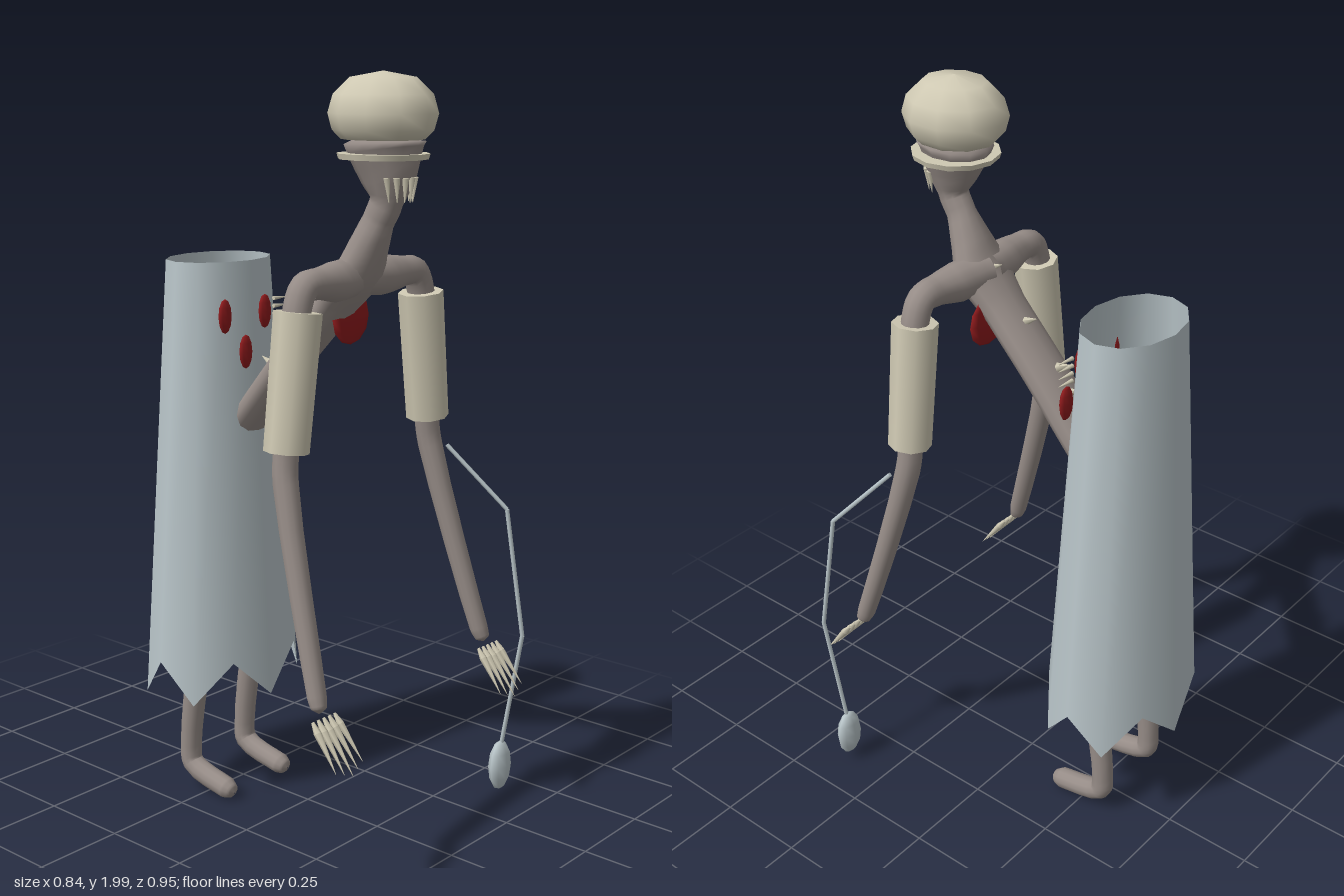
import * as THREE from 'three';

const mat = (name, color, side = THREE.FrontSide) => {
  const m = new THREE.MeshStandardMaterial({ color, side });
  m.name = name;
  return m;
};
const skin = mat('grey skin', 0x968c87);
const bone = mat('bone', 0xcfc9b3);
const metal = mat('pale metal', 0xb9c5c9, THREE.DoubleSide);
const red = mat('dark red', 0x8e1a1c);
const CX = -0.03; // symmetry axis of the body
const V = (x, y, z) => new THREE.Vector3(x, y, z);

// Smooth limb swept through rows of [x, y, z, radiusU, radiusV]
function limb(rows, start, sides = 12, steps = 4) {
  const curve = new THREE.CatmullRomCurve3(rows.map(r => V(r[0], r[1], r[2])));
  const n = (rows.length - 1) * steps, pos = [], idx = [];
  let u = start.clone();
  for (let i = 0; i <= n; i++) {
    const c = curve.getPoint(i / n), t = curve.getTangent(i / n);
    u = u.addScaledVector(t, -u.dot(t)).normalize();
    const v = t.clone().cross(u);
    const k = Math.min(Math.floor(i / steps), rows.length - 2), f = i / steps - k;
    const [ru, rv] = [3, 4].map(q => {
      const a = rows[k][q] ?? rows[k][3], b = rows[k + 1][q] ?? rows[k + 1][3];
      return a + (b - a) * f;
    });
    for (let j = 0; j < sides; j++) {
      const a = j / sides * Math.PI * 2;
      const p = c.clone().addScaledVector(u, ru * Math.cos(a)).addScaledVector(v, rv * Math.sin(a));
      pos.push(p.x, p.y, p.z);
      if (i < n) {
        const A = i * sides + j, B = i * sides + (j + 1) % sides;
        idx.push(A, B, B + sides, A, B + sides, A + sides);
      }
    }
  }
  const g = new THREE.BufferGeometry();
  g.setAttribute('position', new THREE.Float32BufferAttribute(pos, 3));
  g.setIndex(idx);
  g.computeVertexNormals();
  return g;
}

export function createModel() {
  const root = new THREE.Group();
  root.name = 'figure';
  const add = (name, geo, material, x = 0, y = 0, z = 0) => {
    const m = new THREE.Mesh(geo, material);
    m.name = name;
    m.position.set(x, y, z);
    root.add(m);
    return m;
  };
  // Cylinder or cone between two points
  const rod = (name, a, b, ra, rb, material, sides = 6) => {
    const d = b.clone().sub(a), mid = a.clone().add(b).multiplyScalar(0.5);
    const m = add(name, new THREE.CylinderGeometry(rb, ra, d.length(), sides), material, mid.x, mid.y, mid.z);
    m.quaternion.setFromUnitVectors(V(0, 1, 0), d.normalize());
    return m;
  };
  const blob = (name, material, x, y, z, rx, ry, rz) => {
    add(name, new THREE.SphereGeometry(1, 8, 6), material, x, y, z).scale.set(rx, ry, rz);
  };

  // Leaning torso, neck and face in one sweep
  add('torso', limb([
    [CX, 0.94, -0.315, 0.03, 0.01], [CX, 0.97, -0.285, 0.07, 0.042], [CX, 1.115, -0.153, 0.07, 0.043],
    [CX, 1.27, -0.02, 0.07, 0.043], [CX, 1.415, 0.116, 0.07, 0.043], [CX, 1.5, 0.19, 0.09, 0.05],
    [CX, 1.57, 0.225, 0.06, 0.048], [CX, 1.64, 0.257, 0.036, 0.042], [CX, 1.69, 0.282, 0.034, 0.045],
    [CX, 1.75, 0.284, 0.056, 0.08], [CX, 1.83, 0.275, 0.09, 0.108], [CX, 1.85, 0.275, 0.02, 0.02],
  ], V(1, 0, 0)), skin);

  // Skull cap with a brim below it
  const cap = [[0, 1.835], [0.095, 1.838], [0.115, 1.86], [0.125, 1.9], [0.113, 1.945], [0.075, 1.985], [0, 2]];
  add('skullCap', new THREE.LatheGeometry(cap.map(p => new THREE.Vector2(...p)), 10), bone, CX, 0, 0.268)
    .scale.set(1, 1, 1.13);
  add('brim', new THREE.CylinderGeometry(0.112, 0.108, 0.014, 12), bone, CX, 1.798, 0.27).scale.z = 1.05;

  // Teeth around the front of the mouth
  for (let i = 0; i < 7; i++) {
    const a = (i - 3) * 0.38, s = Math.sin(a), c = Math.cos(a);
    rod('tooth', V(CX + 0.05 * s, 1.75, 0.29 + 0.07 * c), V(CX + 0.042 * s, 1.69, 0.295 + 0.06 * c), 0.009, 0.001, bone);
  }

  for (const s of [-1, 1]) {
    const X = d => CX + s * d;
    const mirror = rows => rows.map(([d, ...r]) => [X(d), ...r]);
    add('arm', limb(mirror([
      [0, 1.5, 0.18, 0.05], [0.09, 1.495, 0.198, 0.052], [0.16, 1.497, 0.205, 0.04], [0.215, 1.492, 0.205, 0.037],
      [0.245, 1.43, 0.205, 0.036], [0.28, 1.1, 0.203, 0.033], [0.289, 1.02, 0.21, 0.033],
      [0.335, 0.52, 0.352, 0.025], [0.339, 0.493, 0.362, 0.02], [0.341, 0.482, 0.365, 0.002],
    ]), V(0, 0, 1)), skin);
    rod('sleeve', V(X(0.281), 1.098, 0.205), V(X(0.24), 1.437, 0.207), 0.057, 0.06, bone, 8);

    // Five claws per hand
    for (let i = -2; i <= 2; i++) {
      const a = V(X(0.34 + i * 0.02), 0.475, 0.378), tip = V(X(0.34 + i * 0.025), 0.35 + Math.abs(i) * 0.009, 0.473 - Math.abs(i) * 0.006);
      const knuckle = a.clone().lerp(tip, 0.22);
      rod('clawRoot', a, knuckle, 0.004, 0.01, bone);
      rod('claw', knuckle, tip, 0.01, 0.0005, bone);
    }

    // Legs with forward feet
    add('leg', limb(mirror([
      [0, 0.97, -0.285, 0.04], [0.07, 0.965, -0.285, 0.045], [0.105, 0.92, -0.28, 0.044], [0.11, 0.6, -0.24, 0.04],
      [0.11, 0.42, -0.278, 0.034], [0.11, 0.13, -0.32, 0.03], [0.11, 0.075, -0.312, 0.031],
      [0.11, 0.037, -0.18, 0.03], [0.11, 0.032, -0.158, 0.02], [0.11, 0.03, -0.15, 0.002],
    ]), V(0, 0, 1)), skin);
  }

  // Open skirt with a jagged hem
  const skirt = new THREE.CylinderGeometry(0.16, 0.245, 1.09, 12, 1, true);
  const p = skirt.attributes.position;
  for (let i = 0; i < p.count; i++) {
    if (p.getY(i) < 0 && i % 13 % 2 === 0) p.setY(i, p.getY(i) - 0.115);
  }
  add('skirt', skirt, metal, CX, 0.965, -0.295).scale.z = 0.75;

  // Thorns down the spine
  for (const [y, z] of [[1.512, 0.165], [1.395, 0.05], [1.3, -0.062], [1.238, -0.095], [1.135, -0.2], [1.025, -0.3]]) {
    rod('thorn', V(CX, y, z), V(CX, y + 0.02, z - 0.042), 0.013, 0.0005, bone);
  }

  // Red wounds on chest and skirt
  for (const [x, y, z, rx, ry] of [[0.007, 1.385, 0.14, 0.072, 0.07], [-0.127, 1.37, -0.178, 0.024, 0.046],
    [0.017, 1.37, -0.17, 0.024, 0.046], [0.075, 1.28, -0.17, 0.026, 0.048], [-0.063, 1.27, -0.165, 0.024, 0.046]]) {
    blob('wound', red, x, y, z, rx, ry, 0.011);
  }
  for (let i = 0; i < 4; i++) {
    const y = 1.4 - i * 0.021;
    rod('stitch', V(0.055, y, -0.173), V(0.103, y, -0.168), 0.006, 0.001, bone);
  }

  // Hanging cord and weight
  const cord = [V(0.297, 1.015, 0.238), V(0.375, 0.845, 0.386), V(0.396, 0.49, 0.434), V(0.38, 0.16, 0.386)];
  for (let i = 0; i < 3; i++) rod('cord', cord[i], cord[i + 1], 0.006, 0.006, metal);
  blob('weight', metal, 0.377, 0.101, 0.385, 0.043, 0.073, 0.025);

  return root;
}
